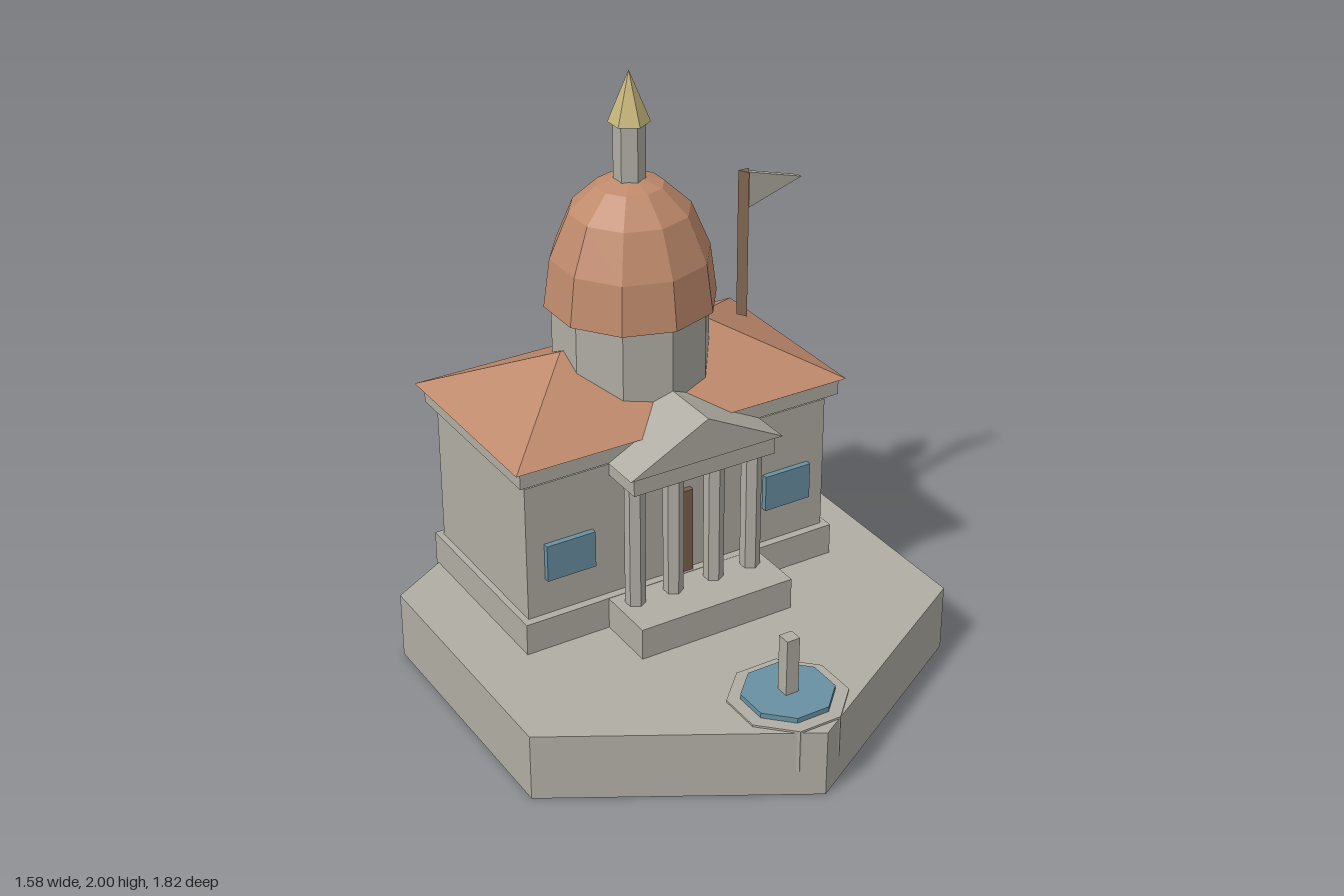
import * as THREE from 'three';

const mat = (name, color) => {
  const m = new THREE.MeshStandardMaterial({ color, flatShading: true });
  m.name = name;
  return m;
};

export function createModel() {
  const stone = mat('stone', 0xb0ada3);
  const copper = mat('copper', 0xbf8a6c);
  const blue = mat('blue', 0x6890a2);
  const gold = mat('gold', 0xc6b579);
  const wood = mat('wood', 0x7f634d);

  const model = new THREE.Group();
  model.name = 'domedHall';
  const CZ = -0.26; // centre line of the hall and dome

  const add = (name, geo, material) => {
    const mesh = new THREE.Mesh(geo, material);
    mesh.name = name;
    model.add(mesh);
    return mesh;
  };
  // Box given by its limits on each axis
  const box = (name, material, [x0, x1], [y0, y1], [z0, z1]) =>
    add(name, new THREE.BoxGeometry(x1 - x0, y1 - y0, z1 - z0), material)
      .position.set((x0 + x1) / 2, (y0 + y1) / 2, (z0 + z1) / 2);
  // Upright prism or cone between two heights
  const prism = (name, material, sides, rTop, rBottom, y0, y1, x, z, turn = 0) => {
    const mesh = add(name, new THREE.CylinderGeometry(rTop, rBottom, y1 - y0, sides), material);
    mesh.position.set(x, (y0 + y1) / 2, z);
    mesh.rotation.y = turn;
  };

  // Grounds
  prism('hexagonBase', stone, 6, 0.91, 0.91, 0, 0.235, 0, 0);

  // Hall: plinth, porch floor, walls and cornice
  box('plinth', stone, [-0.587, 0.587], [0.09, 0.347], [-0.587, 0.07]);
  box('porchFloor', stone, [-0.285, 0.285], [0.09, 0.346], [0, 0.283]);
  box('walls', stone, [-0.565, 0.565], [0.345, 0.83], [-0.563, 0.042]);
  box('cornice', stone, [-0.595, 0.595], [0.855, 0.915], [-0.59, 0.075]);

  // Door and windows
  box('door', wood, [-0.04, 0.04], [0.346, 0.655], [0.03, 0.062]);
  for (const s of [-1, 1]) {
    const x = s * 0.413;
    box('window', blue, [x - 0.088, x + 0.088], [0.48, 0.61], [0.03, 0.062]);
  }

  // Hipped roof: a box whose top is pinched to a ridge
  const roof = new THREE.BoxGeometry(1.23, 0.18, 0.71);
  const p = roof.attributes.position;
  for (let i = 0; i < p.count; i++) {
    if (p.getY(i) > 0) p.setXYZ(i, Math.sign(p.getX(i)) * 0.26, p.getY(i), 0);
  }
  roof.computeVertexNormals();
  add('hippedRoof', roof, copper).position.set(0, 1.004, CZ - 0.005);

  // Portico
  for (const x of [-0.22, -0.077, 0.077, 0.22]) {
    prism('column', stone, 6, 0.034, 0.034, 0.345, 0.8, x, 0.13);
  }
  box('entablature', stone, [-0.262, 0.262], [0.79, 0.86], [0.04, 0.2]);
  const gable = new THREE.Shape([
    new THREE.Vector2(-0.282, 0.855), new THREE.Vector2(0.282, 0.855), new THREE.Vector2(0, 1.0),
  ]);
  add('pediment', new THREE.ExtrudeGeometry(gable, { depth: 0.295, bevelEnabled: false }), stone)
    .position.z = -0.08;

  // Drum, dome, lantern and spire
  prism('drum', stone, 10, 0.262, 0.262, 0.8, 1.225, 0, CZ);
  const profile = [[0, 1.222], [0.286, 1.222], [0.264, 1.387], [0.2, 1.54], [0.112, 1.623], [0, 1.657]]
    .map(([r, y]) => new THREE.Vector2(r, y));
  add('dome', new THREE.LatheGeometry(profile, 10), copper).position.z = CZ;
  prism('lantern', stone, 6, 0.052, 0.052, 1.64, 1.83, 0, CZ);
  prism('spire', gold, 6, 0, 0.068, 1.83, 2, 0, CZ);

  // Flag on its pole
  prism('flagpole', wood, 3, 0.023, 0.023, 1.05, 1.57, 0.435, CZ);
  const pennant = new THREE.Shape([
    new THREE.Vector2(0.445, 1.44), new THREE.Vector2(0.65, 1.505), new THREE.Vector2(0.445, 1.565),
  ]);
  add('flag', new THREE.ExtrudeGeometry(pennant, { depth: 0.02, bevelEnabled: false }), stone)
    .position.z = CZ - 0.01;

  // Fountain
  const FZ = 0.69, turn = Math.PI / 8;
  prism('fountainRim', stone, 8, 0.195, 0.195, 0.09, 0.242, 0, FZ, turn);
  prism('fountainWater', blue, 8, 0.151, 0.151, 0.235, 0.26, 0, FZ, turn);
  box('fountainPost', stone, [-0.023, 0.023], [0.25, 0.46], [FZ - 0.023, FZ + 0.023]);

  return model;
}
